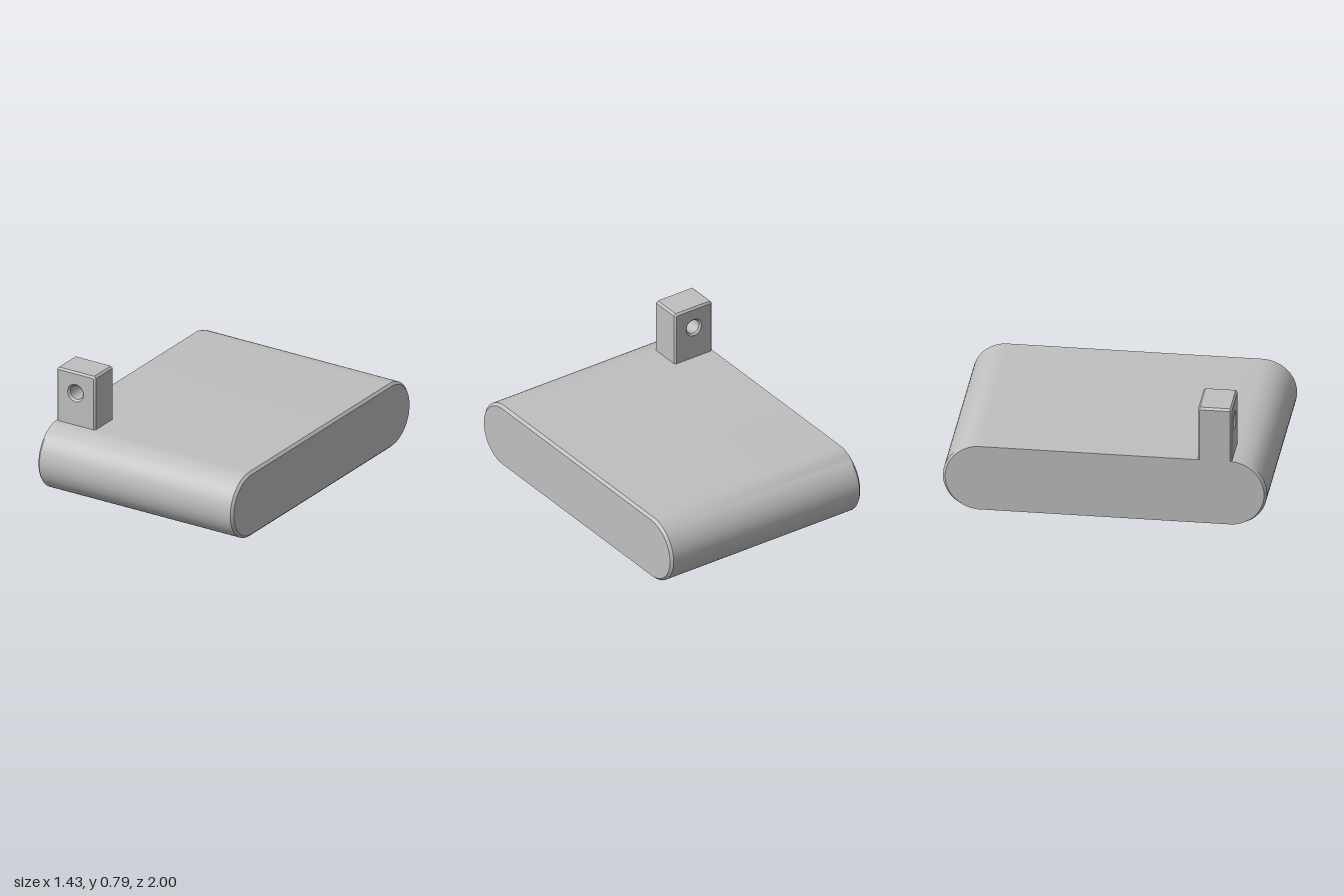
import * as THREE from 'three';
import { toCreasedNormals } from 'three/addons/utils/BufferGeometryUtils.js';

const R = 0.215;        // radius of the rounded ends
const FLAT = 0.785;     // half length of the flat faces
const X = 0.713;        // half width
const BEVEL = 0.016;

// Stadium-shaped slab lofted along x; the -x rim is bevelled only around the round ends
function slabGeometry() {
  const half = 32, pos = [], index = [];
  const stations = [
    [-X, (nz) => BEVEL * Math.abs(nz)],
    [-X + BEVEL, () => 0],
    [X - BEVEL, () => 0],
    [X, () => BEVEL],
  ];
  const n = 2 * (half + 1);
  for (const [x, inset] of stations) {
    for (let i = 0; i < n; i++) {
      const end = i <= half ? 1 : -1;
      const a = end > 0 ? -Math.PI / 2 + Math.PI * i / half
        : Math.PI / 2 + Math.PI * (i - half - 1) / half;
      const r = R - inset(Math.cos(a));
      pos.push(x, R + r * Math.sin(a), end * FLAT + r * Math.cos(a));
    }
  }
  const last = (stations.length - 1) * n, c0 = stations.length * n, c1 = c0 + 1;
  pos.push(-X, R, 0, X, R, 0);
  for (let i = 0; i < n; i++) {
    const k = (i + 1) % n;
    for (let j = 0; j < last; j += n) {
      index.push(j + i, j + n + i, j + k, j + k, j + n + i, j + n + k);
    }
    index.push(c0, i, k, c1, last + k, last + i);
  }
  const geo = new THREE.BufferGeometry();
  geo.setAttribute('position', new THREE.Float32BufferAttribute(pos, 3));
  geo.setIndex(index);
  return toCreasedNormals(geo, 0.5);
}

// Upright lug with a cross hole and chamfered edges
function lugGeometry() {
  const b = 0.012, x0 = -X + b, x1 = -0.43 - b, y0 = 0.40, y1 = 0.785 - b, c = 0.006;
  const shape = new THREE.Shape([
    [x0, y0], [x1, y0], [x1, y1 - c], [x1 - c, y1], [x0 + c, y1], [x0, y1 - c],
  ].map(([x, y]) => new THREE.Vector2(x, y)));
  const hole = new THREE.Path();
  hole.absarc(-0.572, 0.645, 0.052 + b / 2, 0, Math.PI * 2, true);
  shape.holes.push(hole);
  const geo = new THREE.ExtrudeGeometry(shape, {
    depth: 0.21 - 2 * b, bevelEnabled: true, bevelSize: b, bevelThickness: b,
    bevelSegments: 1, curveSegments: 12,
  });
  geo.translate(0, 0, 0.575 + b);
  return toCreasedNormals(geo, 0.6);
}

export function createModel() {
  const grey = new THREE.MeshStandardMaterial({ color: 0xbfbfbf });
  grey.name = 'light grey';
  const model = new THREE.Group();
  model.name = 'slabWithLug';
  const add = (name, geo) => {
    const mesh = new THREE.Mesh(geo, grey);
    mesh.name = name;
    model.add(mesh);
  };
  add('roundedSlab', slabGeometry());
  add('lug', lugGeometry());
  return model;
}
